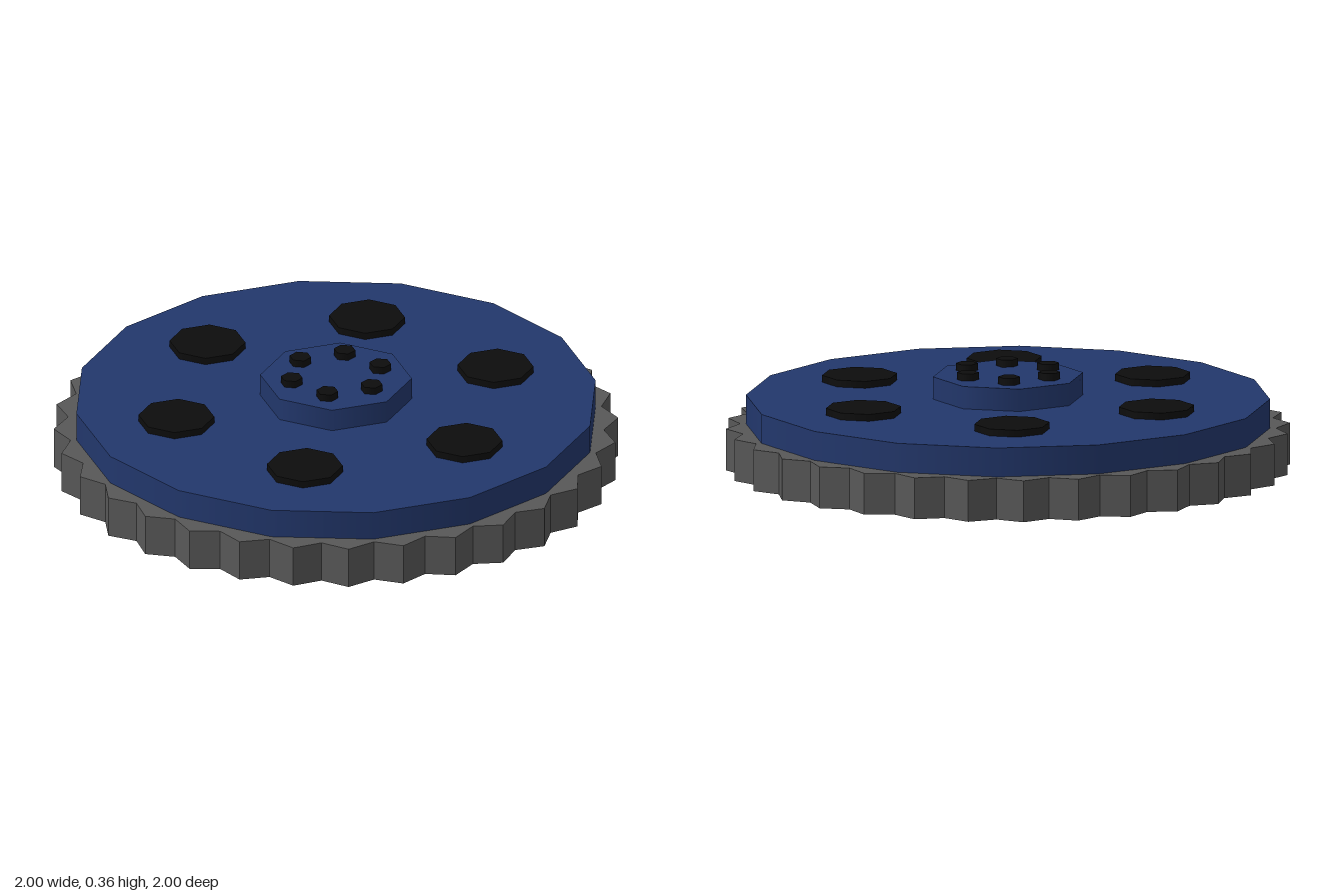
import * as THREE from 'three';

const blue = new THREE.MeshStandardMaterial({ color: 0x22376c });
blue.name = 'blue';
const grey = new THREE.MeshStandardMaterial({ color: 0x585858 });
grey.name = 'grey';
const black = new THREE.MeshStandardMaterial({ color: 0x0d0d0d });
black.name = 'black';

const DISC_SIDES = 16, DISC_RADIUS = 0.933, TEETH = 32;

// Upright prism between two heights, optionally turned so a flat faces the front
function prism(name, material, radius, sides, y0, y1, flatFront) {
  const geometry = new THREE.CylinderGeometry(radius, radius, y1 - y0, sides);
  if (flatFront) geometry.rotateY(Math.PI / sides);
  geometry.translate(0, (y0 + y1) / 2, 0);
  const mesh = new THREE.Mesh(geometry, material);
  mesh.name = name;
  return mesh;
}

// Six equal prisms spaced around the centre
function ringOfSix(name, ringRadius, makePart) {
  const group = new THREE.Group();
  group.name = name;
  for (let i = 0; i < 6; i++) {
    const a = (i * Math.PI) / 3;
    const part = makePart();
    part.position.set(ringRadius * Math.cos(a), 0, ringRadius * Math.sin(a));
    group.add(part);
  }
  return group;
}

// Points on a circle, with radius chosen per step
function circlePoints(count, offset, radiusAt) {
  return Array.from({ length: count }, (_, i) => {
    const a = ((i + offset) / count) * Math.PI * 2;
    return new THREE.Vector2(radiusAt(i) * Math.cos(a), radiusAt(i) * Math.sin(a));
  });
}

// Toothed rim, open in the middle where the disc sits
function toothedRim() {
  const shape = new THREE.Shape(circlePoints(TEETH * 2, 0, (i) => (i % 2 ? 1.005 : 0.954)));
  shape.holes.push(new THREE.Path(circlePoints(DISC_SIDES, 0.5, () => DISC_RADIUS)));
  const geometry = new THREE.ExtrudeGeometry(shape, { depth: 0.15, bevelEnabled: false });
  geometry.rotateX(-Math.PI / 2);
  const mesh = new THREE.Mesh(geometry, grey);
  mesh.name = 'toothedRim';
  return mesh;
}

export function createModel() {
  const model = new THREE.Group();
  model.name = 'wheel';
  model.add(
    toothedRim(),
    prism('disc', blue, DISC_RADIUS, DISC_SIDES, 0, 0.255, true),
    prism('hub', blue, 0.27, 8, 0.25, 0.336, true),
    ringOfSix('discPads', 0.602, () => prism('discPad', black, 0.135, 8, 0.25, 0.28, true)),
    ringOfSix('hubBolts', 0.167, () => prism('hubBolt', black, 0.039, 6, 0.33, 0.362, false)),
  );
  return model;
}
